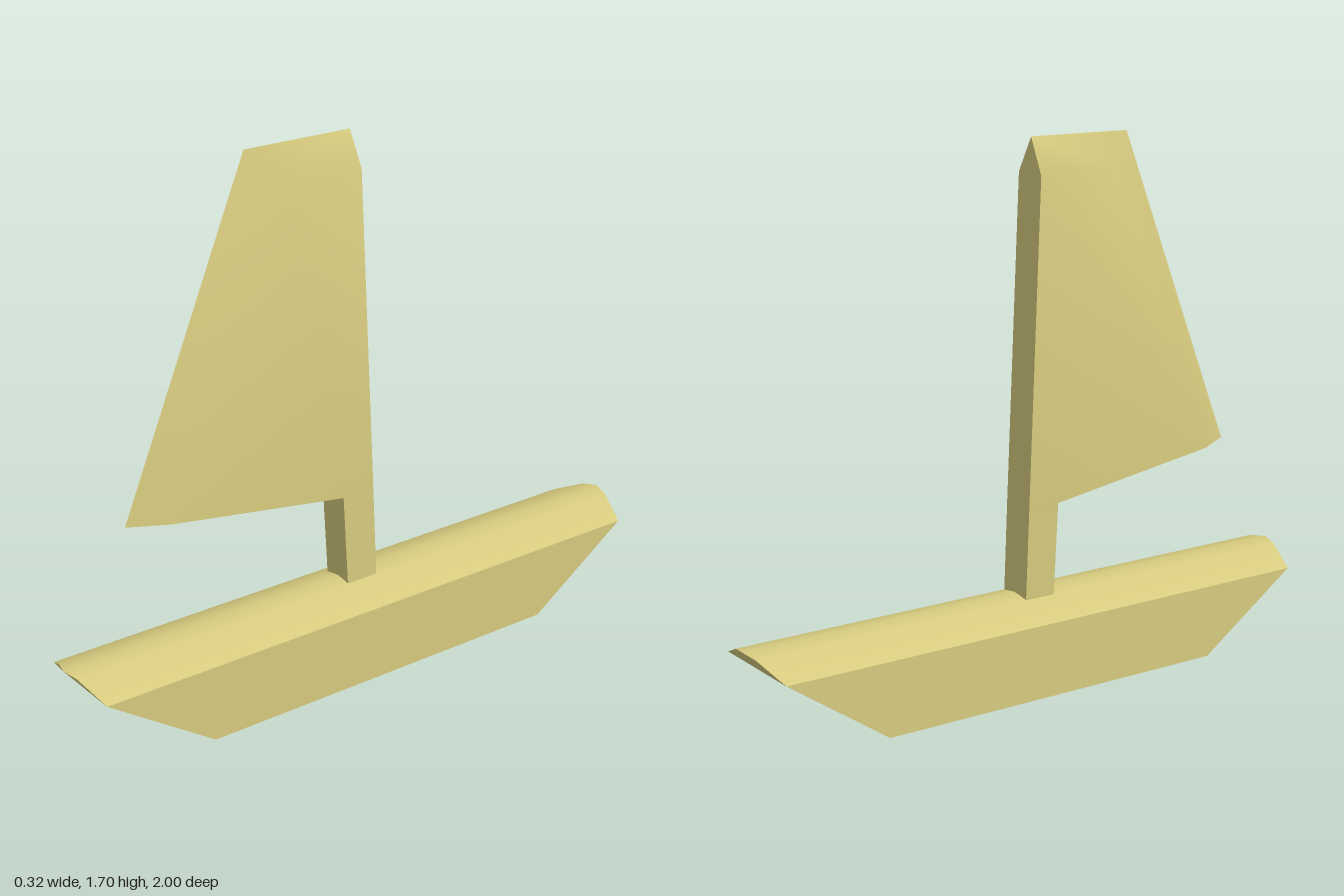
import * as THREE from 'three';
import { ConvexGeometry } from 'three/addons/geometries/ConvexGeometry.js';
import { toCreasedNormals } from 'three/addons/utils/BufferGeometryUtils.js';

const material = new THREE.MeshStandardMaterial({ color: 0xd6ca7e });

// Convex solid from its corner points, softly shaded across shallow edges
function solid(name, points) {
  const corners = points.map(p => new THREE.Vector3(...p));
  const mesh = new THREE.Mesh(toCreasedNormals(new ConvexGeometry(corners), 0.7), material);
  mesh.name = name;
  return mesh;
}

// Left and right corners at half width w about a centre line cx
const pair = (w, y, z, cx = 0) => [[cx + w, y, z], [cx - w, y, z]];

export function createModel() {
  const model = new THREE.Group();
  model.name = 'sailboat';

  // Hull with a cambered deck, raked ends and a slight rise to the stern
  model.add(solid('hull', [
    ...pair(0.16, 0.005, 0.6), ...pair(0.16, 0.228, 0.95),
    ...pair(0.055, 0.278, 0.985), [0, 0.285, 1],
    ...pair(0.16, 0.055, -0.62), ...pair(0.16, 0.3, -0.955),
    ...pair(0.055, 0.35, -0.988), [0, 0.36, -1],
  ]));

  // Square post between deck and sail
  model.add(solid('mast', [
    ...pair(0.055, 0.28, 0.05, -0.004), ...pair(0.055, 0.28, -0.056, -0.004),
    ...pair(0.055, 0.6, 0.066, -0.006), ...pair(0.055, 0.6, -0.044, -0.006),
  ]));

  // Thick sail: flat back edge, bevelled leading edge and ridged top
  model.add(solid('sail', [
    ...pair(0.055, 0.6, -0.044, -0.006), ...pair(0.055, 0.6, 0.066, -0.006),
    ...pair(0.055, 0.668, 0.66, -0.008), [-0.006, 0.67, 0.78],
    ...pair(0.053, 1.6, -0.007, -0.016), ...pair(0.053, 1.6, 0.26, -0.016),
    [-0.016, 1.707, -0.003], [-0.016, 1.697, 0.355],
  ]));

  return model;
}
